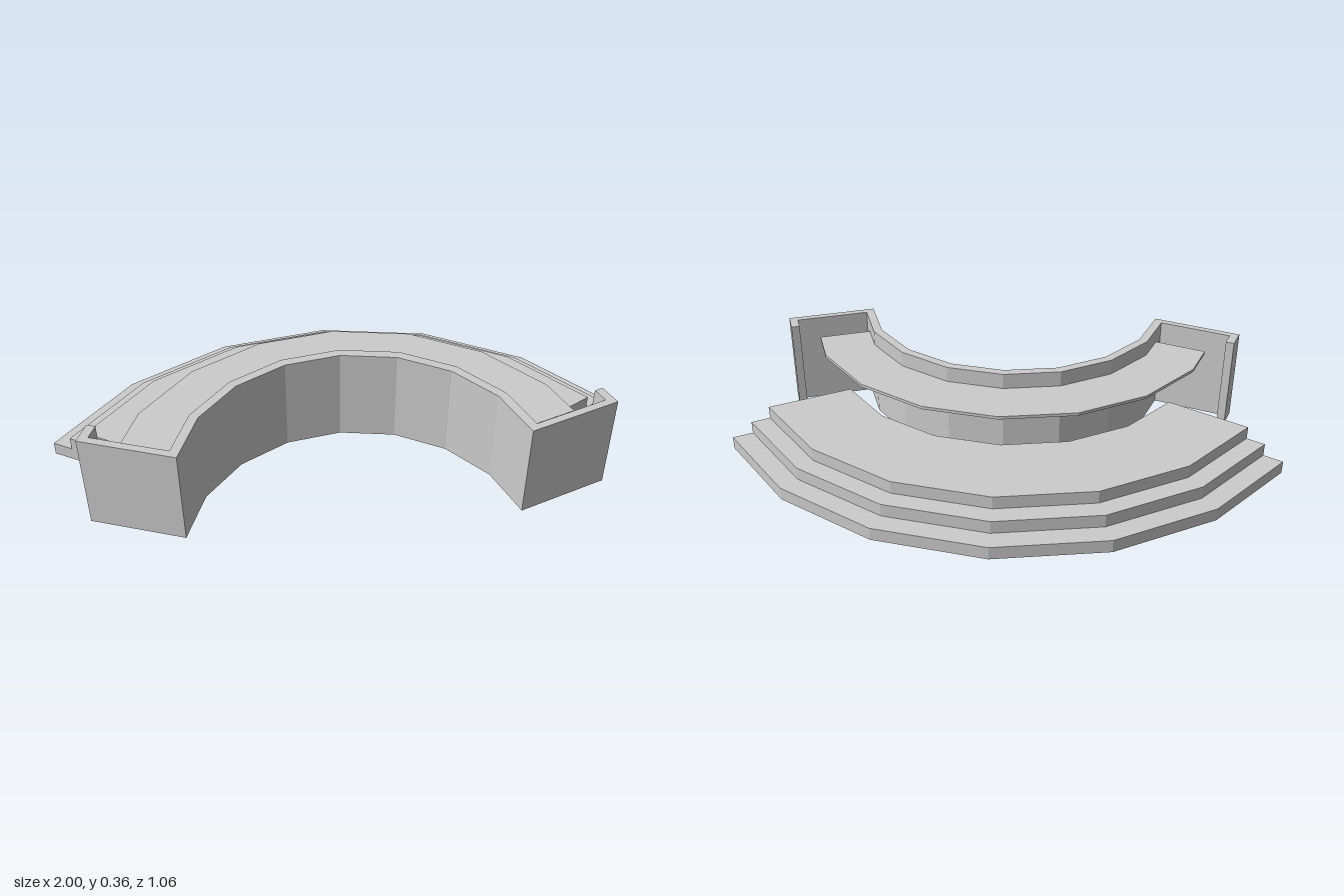
import * as THREE from 'three';

const CZ = 0.622;                 // z of the common arc centre
const STEP = Math.PI / 9;         // 20 degree facets
const END = 3 * STEP;             // arcs end 60 degrees either side
const TURN = 3.5 * STEP;          // direction of the straight end bays
const along = [Math.cos(TURN), Math.sin(TURN)];   // runs along the bay (x, z)
const across = [Math.sin(TURN), -Math.cos(TURN)]; // points away from the centre

const material = new THREE.MeshStandardMaterial({ color: 0xcccccc, flatShading: true });

// Extrudes a plan outline given as [x, z] points from y0 to y1
function slab(name, points, y0, y1) {
  const shape = new THREE.Shape(points.map(([x, z]) => new THREE.Vector2(x, -z)));
  const geometry = new THREE.ExtrudeGeometry(shape, { depth: y1 - y0, bevelEnabled: false });
  geometry.rotateX(-Math.PI / 2);
  geometry.translate(0, y0, 0);
  const mesh = new THREE.Mesh(geometry, material);
  mesh.name = name;
  return mesh;
}

// Faceted arc from the right end to the left end, with optional straight tails
function arc(r, tail = 0) {
  const pts = [];
  for (let i = -3; i <= 3; i++) pts.push([r * Math.sin(i * STEP), CZ - r * Math.cos(i * STEP)]);
  if (tail) {
    const [x, z] = pts[6];
    const end = [x + along[0] * tail, z + along[1] * tail];
    pts.push(end);
    pts.unshift([-end[0], end[1]]);
  }
  return pts;
}

// Curved band between two radii; the tails are cut square to the end bays
function band(name, rIn, rOut, y0, y1, tail = 0) {
  const outerTail = tail ? tail + (rOut - rIn) * Math.sin(TURN - END) : 0;
  return slab(name, [...arc(rOut, outerTail), ...arc(rIn, tail).reverse()], y0, y1);
}

export function createModel() {
  const model = new THREE.Group();

  // Three platform steps sharing one inner edge
  [1.155, 1.08, 1.01].forEach((r, i) => {
    model.add(band('platformStep' + (i + 1), 0.694, r, i * 0.0467, (i + 1) * 0.0467));
  });

  // Front wall and the thin worktop behind it
  const wallIn = 0.553, wallOut = 0.585, wallTail = 0.193;
  model.add(band('frontWall', wallIn, wallOut, 0.02, 0.36, wallTail));
  model.add(band('worktop', wallOut, 0.777, 0.293, 0.304, 0.12));

  // Side panels with a short return lip, one at each end of the wall
  const [cx, cz] = arc(wallIn, wallTail)[8];
  const at = (u, v) => [cx + across[0] * u - along[0] * v, cz + across[1] * u - along[1] * v];
  const outline = [at(0.03, 0), at(0.325, 0), at(0.325, 0.08), at(0.295, 0.08), at(0.295, 0.025), at(0.03, 0.025)];
  for (const side of [1, -1]) {
    model.add(slab(side > 0 ? 'leftSidePanel' : 'rightSidePanel',
      outline.map(([x, z]) => [side * x, z]), 0.02, 0.36));
  }
  return model;
}
